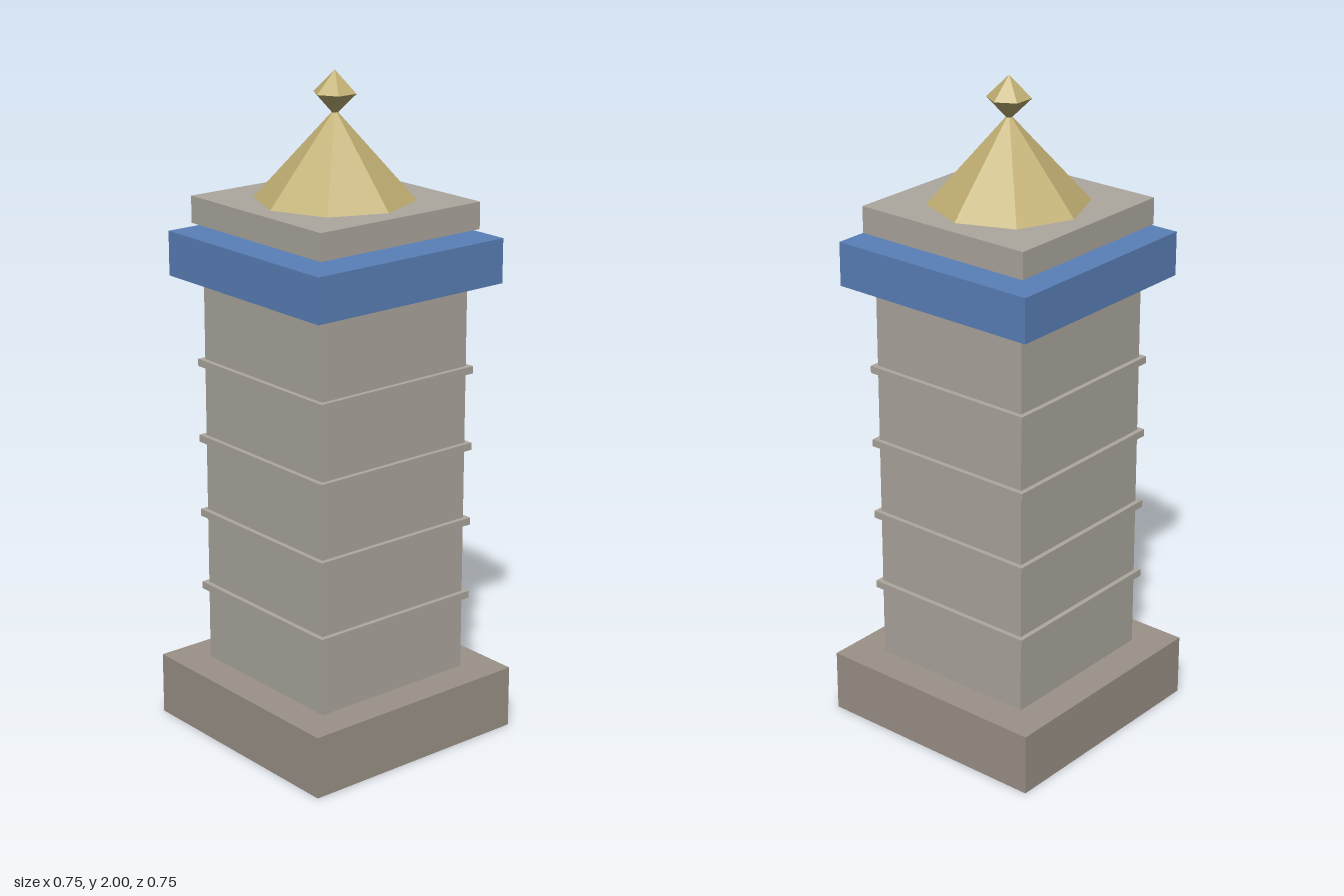
import * as THREE from 'three';

const material = (color) => new THREE.MeshStandardMaterial({ color, flatShading: true });

export function createModel() {
  const model = new THREE.Group();
  model.name = 'tower';

  const baseStone = material(0x9b9287);
  const stone = material(0xaca79e);
  const blue = material(0x5a80b8);
  const gold = material(0xc0ae72);

  function add(name, geometry, mat, y) {
    const mesh = new THREE.Mesh(geometry, mat);
    mesh.name = name;
    mesh.position.y = y;
    model.add(mesh);
  }

  // Square block between two heights
  function block(name, width, bottom, top, mat) {
    add(name, new THREE.BoxGeometry(width, top - bottom, width), mat, (bottom + top) / 2);
  }

  block('base', 0.75, 0, 0.19, baseStone);
  block('shaft', 0.54, 0.19, 1.392, stone);

  // Thin bands around the shaft
  for (let i = 0; i < 4; i++) {
    const y = 0.425 + i * 0.235;
    block(`band${i + 1}`, 0.57, y - 0.011, y + 0.011, stone);
  }

  // Cornice, with a narrow open gap below the roof slab
  block('cornice', 0.682, 1.392, 1.525, blue);
  block('roofSlab', 0.586, 1.55, 1.63, stone);

  // Eight-sided roof and faceted finial
  add('roof', new THREE.ConeGeometry(0.235, 0.26, 8), gold, 1.76);
  add('finial', new THREE.SphereGeometry(0.065, 6, 2), gold, 1.935);

  return model;
}
